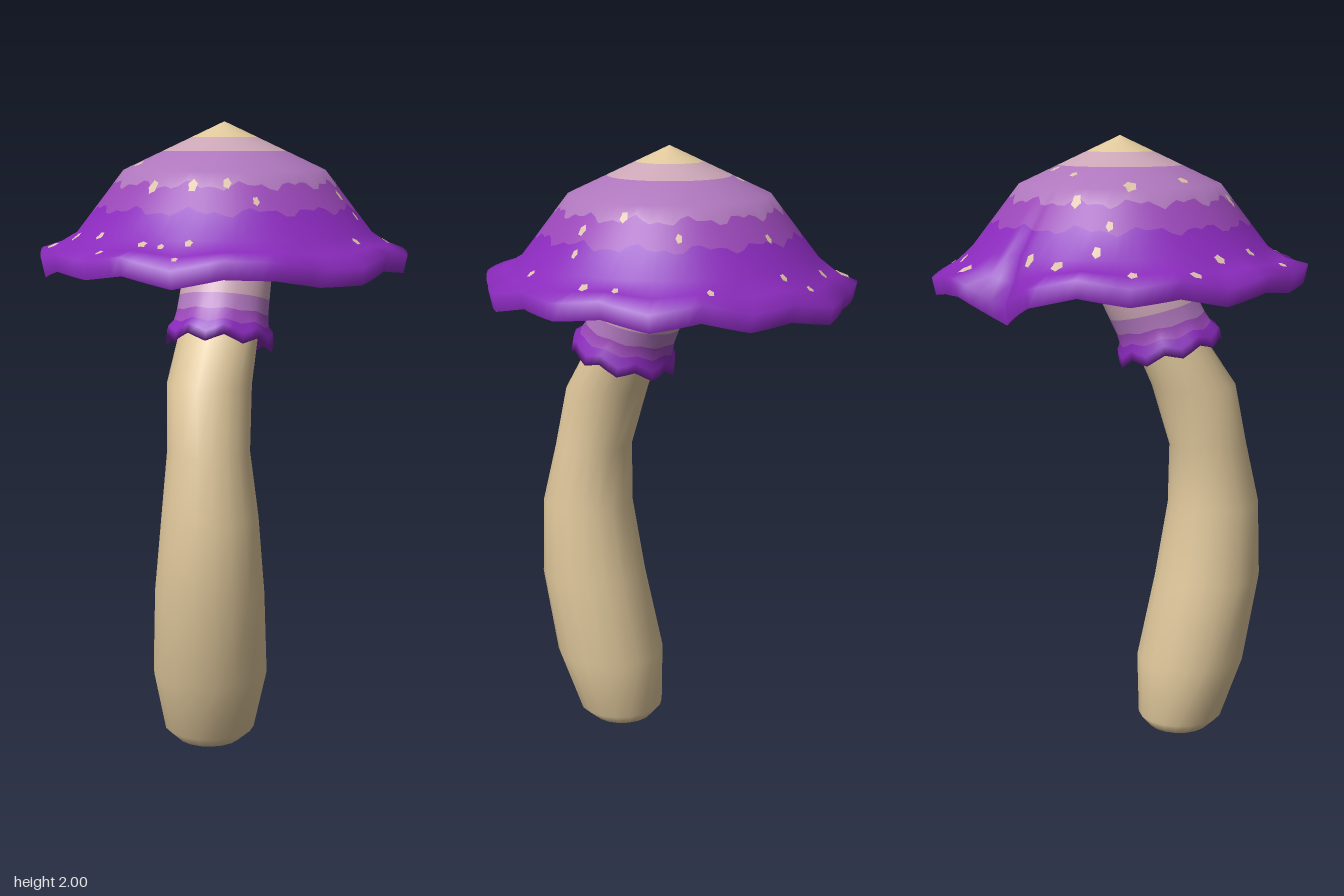
import * as THREE from 'three';

const mat = (name, color) => {
  const m = new THREE.MeshStandardMaterial({ color });
  m.name = name;
  return m;
};

// Rim radius and rim bottom height every 15 degrees, clockwise from the back
const RIM_R = [.6, .575, .578, .573, .59, .57, .59, .57, .59, .573, .587, .585,
  .59, .6, .59, .594, .589, .584, .595, .597, .592, .513, .594, .578];
const RIM_Y = [1.5, 1.525, 1.51, 1.545, 1.52, 1.55, 1.535, 1.55, 1.52, 1.52, 1.545, 1.55,
  1.52, 1.555, 1.535, 1.55, 1.52, 1.55, 1.53, 1.555, 1.52, 1.45, 1.53, 1.52];
const COLS = 96;

// Linear lookup in a closed table
function around(table, a) {
  const n = table.length;
  const t = ((a / (Math.PI * 2)) * n + n * 2) % n;
  const i = Math.floor(t);
  return THREE.MathUtils.lerp(table[i % n], table[(i + 1) % n], t - i);
}

// Cap section [radius, height] from the tip to the lip, at one angle
function capSection(a) {
  const R = around(RIM_R, a), y = around(RIM_Y, a);
  const shoulder = Math.min(.47, R - .06);
  return [[.001, 2], [.32, 1.85], [shoulder, 1.655],
    [shoulder + (R - shoulder) * .45, 1.58 + (y - 1.53) * .5 + .035], [R, y + .055]];
}

function capHeight(r, a) {
  const p = capSection(a);
  let i = 1;
  while (i < p.length - 1 && p[i][0] < r) i++;
  const [r0, y0] = p[i - 1], [r1, y1] = p[i];
  return y0 + (y1 - y0) * (r - r0) / (r1 - r0);
}

// Closed skin through rings; bands[k] is the material index between ring k and k + 1
function skin(name, rings, cols, bands, materials) {
  const pos = [], index = [];
  for (const ring of rings) {
    for (let j = 0; j < cols; j++) pos.push(...ring(j / cols * Math.PI * 2));
  }
  const g = new THREE.BufferGeometry();
  bands.forEach((band, k) => {
    g.addGroup(index.length, cols * 6, band);
    for (let j = 0; j < cols; j++) {
      const n = (j + 1) % cols, a = k * cols, b = a + cols;
      index.push(a + j, b + n, b + j, a + j, a + n, b + n);
    }
  });
  g.setAttribute('position', new THREE.Float32BufferAttribute(pos, 3));
  g.setIndex(index);
  g.computeVertexNormals();
  const mesh = new THREE.Mesh(g, materials);
  mesh.name = name;
  return mesh;
}

const polar = (r, y, a) => [r * Math.sin(a), y, -r * Math.cos(a)];

export function createModel() {
  const tan = mat('tan', 0xdfc79b);
  const pink = mat('dustyPink', 0xcba6b6);
  const mauve = mat('mauve', 0xae76bc);
  const violet = mat('violet', 0x9a47b8);
  const purple = mat('deepPurple', 0x8a2abc);
  const spotColor = mat('spotCream', 0xd9bfa6);
  const colours = [tan, pink, mauve, violet, purple];
  const group = new THREE.Group();
  group.name = 'mushroom';

  // Cap top: coloured bands with ragged borders, flaring to a wavy lip
  const onCap = (radius) => (a) => {
    const r = radius(a);
    return polar(r, capHeight(r, a), a);
  };
  const sectionRing = (k) => (a) => polar(...capSection(a)[k], a);
  const ragged = (a) => .007 * Math.sin(13 * a + 1) + .006 * Math.sin(29 * a);
  group.add(skin('cap', [
    sectionRing(0), onCap(() => .105), onCap(() => .195), sectionRing(1),
    onCap((a) => .352 + ragged(a)), onCap((a) => .41 + ragged(a + 2)),
    sectionRing(2), sectionRing(3), sectionRing(4),
    (a) => polar(around(RIM_R, a) - .012, around(RIM_Y, a), a),
  ], COLS, [0, 1, 2, 2, 3, 4, 4, 4, 4], colours));

  // Underside: purple inner lip and shallow pleated gills
  const pleat = (a) => .01 * Math.cos(24 * a);
  group.add(skin('gills', [
    (a) => polar(around(RIM_R, a) - .012, around(RIM_Y, a), a),
    (a) => polar(around(RIM_R, a) - .05, around(RIM_Y, a) + .02, a),
    (a) => polar(.36, 1.585 + (around(RIM_Y, a) - 1.53) * .4 + pleat(a), a),
    (a) => polar(.2, 1.625 + pleat(a) * .6, a),
    (a) => polar(.05, 1.66, a),
  ], COLS, [4, 0, 0, 0], colours));

  // Spots: small ragged plates that follow the cap
  const spots = [
    [-.26, -.48, .022], [-.12, -.49, .013], [.02, -.53, .011], [.09, -.48, .011], [.34, -.39, .011],
    [-.385, -.285, .013], [-.46, -.205, .018], [-.45, -.09, .013], [-.32, -.145, .015], [-.2, -.15, .012],
    [-.09, -.205, .015], [-.31, .015, .02], [-.535, .01, .015], [-.4, -.05, .011], [-.225, .18, .016],
    [-.51, .195, .018], [-.4, .275, .016], [-.285, .38, .013], [-.25, .485, .013], [-.115, .49, .014],
    [-.055, .5, .01], [.025, .485, .012], [0, .355, .014], [-.13, .335, .015], [.1, .335, .012],
    [.19, .34, .01], [.46, .18, .012], [.38, .045, .012], [.43, .035, .01], [.51, -.06, .014],
    [.49, -.16, .01], [.34, -.08, .012], [.3, -.25, .01], [.05, -.4, .01], [0, .545, .01],
  ];
  const spotPos = [], spotIndex = [];
  const SIDES = 10;
  for (const [cx, cz, size] of spots) {
    const base = spotPos.length / 3;
    for (let k = 0; k <= SIDES; k++) {
      const a = k / SIDES * Math.PI * 2;
      const s = k === SIDES ? 0 : size * (k % 2 ? .85 : 1.1);
      const x = cx + s * Math.sin(a), z = cz - s * Math.cos(a);
      spotPos.push(x, capHeight(Math.hypot(x, z), Math.atan2(x, -z)) + .005, z);
      if (k < SIDES) spotIndex.push(base + SIDES, base + (k + 1) % SIDES, base + k);
    }
  }
  const spotGeometry = new THREE.BufferGeometry();
  spotGeometry.setAttribute('position', new THREE.Float32BufferAttribute(spotPos, 3));
  spotGeometry.setIndex(spotIndex);
  spotGeometry.computeVertexNormals();
  const spotMesh = new THREE.Mesh(spotGeometry, spotColor);
  spotMesh.name = 'capSpots';
  group.add(spotMesh);

  // Stem: bent, swelling towards the base; [y, xMin, xMax, zMin, zMax]
  const stem = [
    [1.67, -.08, .12, -.09, .11], [1.55, -.09, .145, -.06, .17], [1.35, -.1, .15, .04, .28],
    [1.2, -.115, .15, .105, .38], [1, -.1, .158, .165, .42], [.8, -.112, .19, .162, .465],
    [.55, -.14, .205, .12, .472], [.27, -.165, .2, .06, .42], [.07, -.14, .15, .065, .345],
    [.03, -.1, .105, .1, .3], [0, -.002, .002, .198, .202],
  ];
  group.add(skin('stem', stem.map(([y, x0, x1, z0, z1]) => (a) => [
    (x0 + x1) / 2 + (x1 - x0) / 2 * Math.sin(a), y,
    (z0 + z1) / 2 - (z1 - z0) / 2 * Math.cos(a),
  ]), 18, stem.slice(1).map(() => 0), colours));

  // Skirt: tilted banded collar with a wavy hem; [y, zCentre, halfWidth, wave]
  const skirt = [
    [1.63, .015, .12, 0], [1.52, .075, .14, 0], [1.45, .11, .142, 0], [1.405, .133, .144, .003],
    [1.37, .15, .15, .006], [1.345, .16, .166, .012], [1.315, .165, .168, .012], [1.345, .16, .115, 0],
  ];
  group.add(skin('skirt', skirt.map(([y, zc, r, wave]) => (a) => [
    .03 + r * Math.sin(a),
    y - .25 * r * Math.cos(a) + wave * Math.cos(9 * a),
    zc - r * Math.cos(a),
  ]), 36, [0, 1, 2, 3, 4, 4, 4], colours));

  return group;
}
